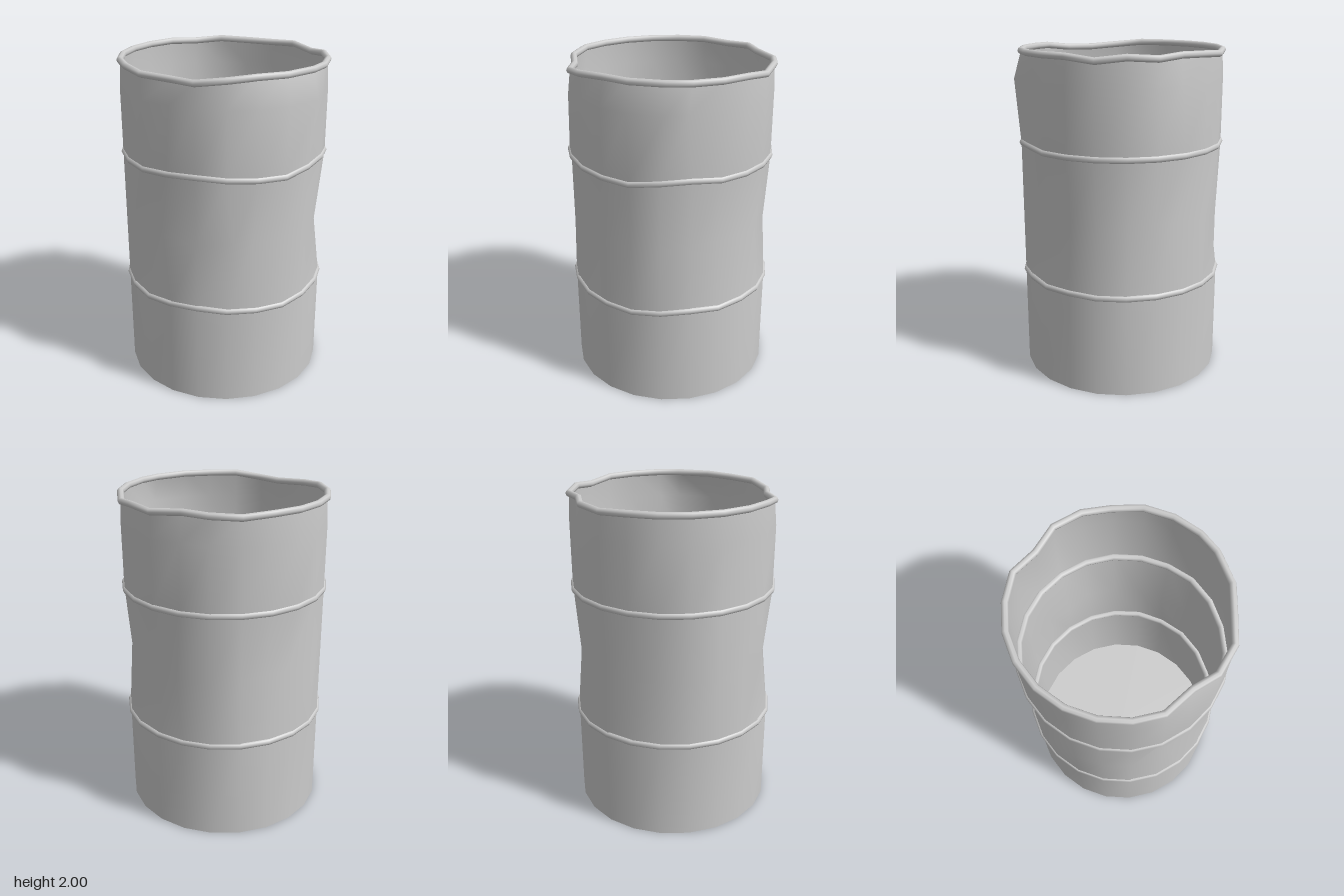
import * as THREE from 'three';

const SIDES = 22;
const R = 0.613;

// One ring of the barrel; moved = { index: [x, z] } for dents and bulges, lift = { index: dy }
function ring(y, moved = {}, lift = {}, radius = R) {
  return Array.from({ length: SIDES }, (_, k) => {
    const a = (k / SIDES) * Math.PI * 2;
    const [x, z] = moved[k] ?? [radius * Math.cos(a), radius * Math.sin(a)];
    return new THREE.Vector3(x, y + (lift[k] ?? 0), z);
  });
}

// Skin a list of closed loops; wrap joins the last loop to the first
function skin(loops, wrap = false) {
  const n = loops[0].length, pos = [], index = [];
  loops.forEach(l => l.forEach(p => pos.push(p.x, p.y, p.z)));
  const rows = wrap ? loops.length : loops.length - 1;
  for (let j = 0; j < rows; j++) {
    const j2 = (j + 1) % loops.length;
    for (let i = 0; i < n; i++) {
      const i2 = (i + 1) % n;
      const a = j * n + i, b = j * n + i2, c = j2 * n + i, d = j2 * n + i2;
      index.push(a, c, b, b, c, d);
    }
  }
  const g = new THREE.BufferGeometry();
  g.setAttribute('position', new THREE.Float32BufferAttribute(pos, 3));
  g.setIndex(index);
  g.computeVertexNormals();
  return g;
}

// Round bead that follows a ring corner by corner
function bead(path, r, segments = 8) {
  const loops = [];
  for (let s = 0; s < segments; s++) {
    const t = (s / segments) * Math.PI * 2;
    loops.push(path.map((p, k) => {
      const prev = path[(k + SIDES - 1) % SIDES], next = path[(k + 1) % SIDES];
      const out = new THREE.Vector3(next.z - prev.z, 0, prev.x - next.x).normalize();
      return p.clone().addScaledVector(out, r * Math.cos(t)).add(new THREE.Vector3(0, r * Math.sin(t), 0));
    }));
  }
  return skin(loops, true);
}

export function createModel() {
  const group = new THREE.Group();
  const mat = new THREE.MeshStandardMaterial({ color: 0xcccccc, side: THREE.DoubleSide });
  const add = (name, geo) => {
    const m = new THREE.Mesh(geo, mat);
    m.name = name;
    group.add(m);
  };

  // Battered upper edge
  const rimPath = ring(1.98, {
    4: [0.28, 0.53], 5: [0.087, 0.583], 6: [-0.085, 0.567], 7: [-0.25, 0.55], 8: [-0.39, 0.45],
    9: [-0.458, 0.313], 10: [-0.576, 0.163], 18: [0.25, -0.55], 19: [0.36, -0.427], 20: [0.51, -0.327],
  }, { 0: -0.02, 7: -0.005, 8: -0.025, 9: -0.025, 10: -0.015, 20: -0.01, 17: -0.01 }, 0.604);

  // Wall bulges below the rim and dents between the two hoops
  const shoulder = ring(1.82, {
    3: [0.385, 0.48], 4: [0.295, 0.573], 5: [0.087, 0.622], 9: [-0.485, 0.32], 19: [0.38, -0.44],
  });
  const waist = ring(1.03, {
    0: [0.582, 0], 1: [0.56, 0.16], 2: [0.475, 0.3], 3: [0.39, 0.44],
    6: [-0.1, 0.575], 7: [-0.2, 0.535], 9: [-0.51, 0.225], 10: [-0.52, 0.145],
    14: [-0.41, -0.485], 15: [-0.21, -0.535], 16: [-0.088, -0.54],
    19: [0.41, -0.41], 20: [0.455, -0.305], 21: [0.56, -0.175],
  });
  add('barrelWall', skin([ring(0), ring(0.615), waist, ring(1.43), shoulder, rimPath]));

  // Flat bottom
  const floor = new THREE.CircleGeometry(R, SIDES);
  floor.rotateX(Math.PI / 2);
  add('barrelFloor', floor);

  // Rolled rim and the two slightly wavy hoops
  add('rolledRim', bead(rimPath, 0.02));
  const hoops = [
    ['lowerHoop', 0.618, { 1: 0.005, 3: 0.012, 5: -0.012, 6: -0.005, 8: 0.012, 9: 0.006, 10: -0.006 }],
    ['upperHoop', 1.432, { 3: 0.015, 4: 0.003, 5: -0.018, 6: -0.01, 8: 0.012, 9: 0.006, 10: -0.005 }],
  ];
  for (const [name, y, lift] of hoops) add(name, bead(ring(y, {}, lift, 0.604), 0.021));

  return group;
}
